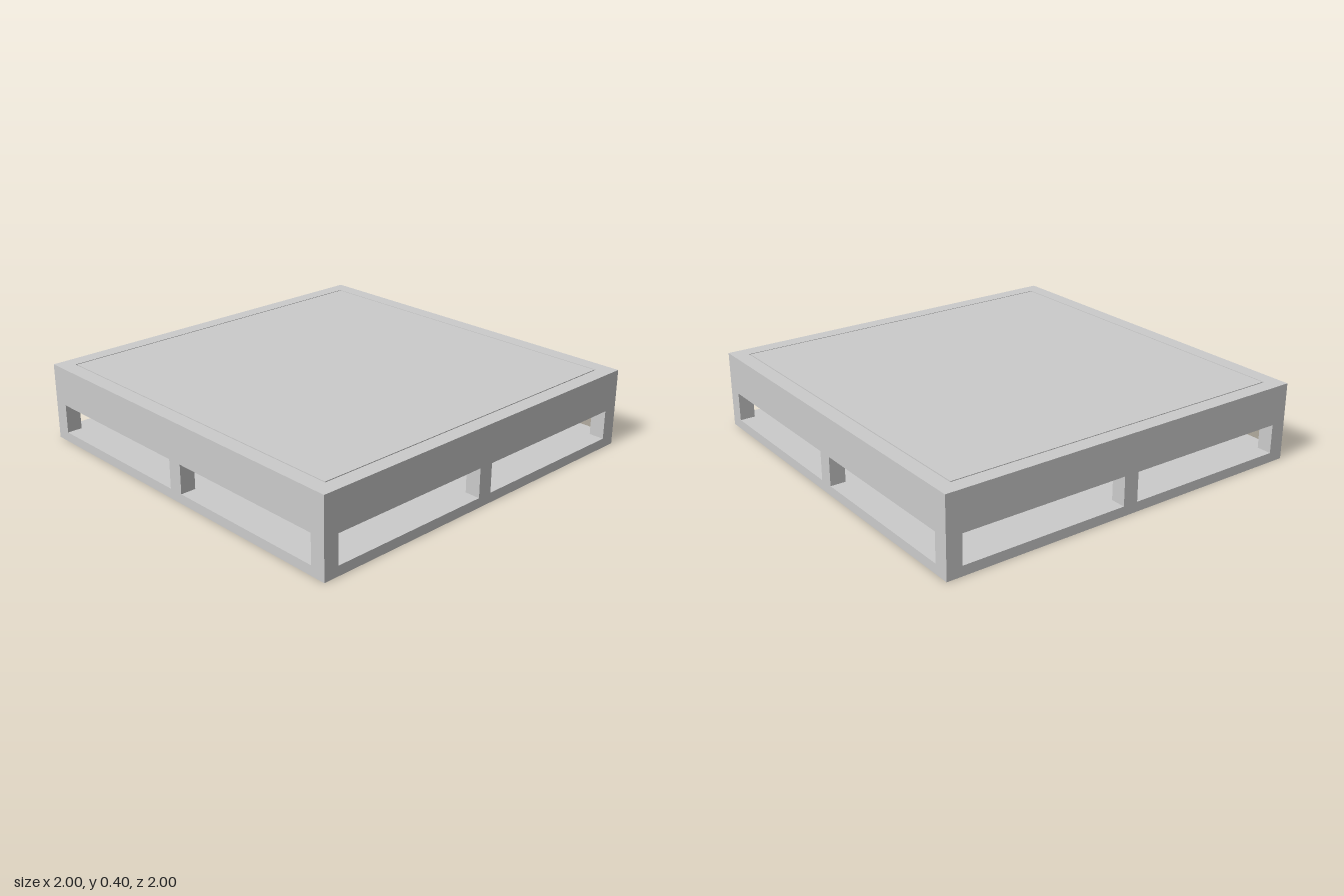
import * as THREE from 'three';

const material = new THREE.MeshStandardMaterial({ color: 0xcccccc, flatShading: true });

function addMesh(parent, name, geometry, x, y, z) {
  const mesh = new THREE.Mesh(geometry, material);
  mesh.name = name;
  mesh.position.set(x, y, z);
  parent.add(mesh);
}

function addBox(parent, name, w, h, d, x, bottom, z) {
  addMesh(parent, name, new THREE.BoxGeometry(w, h, d), x, bottom + h / 2, z);
}

function squarePoints(half) {
  return [[-half, -half], [half, -half], [half, half], [-half, half]]
    .map(([x, y]) => new THREE.Vector2(x, y));
}

export function createModel() {
  const model = new THREE.Group();
  model.name = 'lowTable';

  // Thin base plate
  addBox(model, 'basePlate', 2, 0.05, 2, 0, 0, 0);

  // Posts at the corners and the middle of each side
  const post = 0.08, edge = 1 - post / 2;
  const posts = new THREE.Group();
  posts.name = 'posts';
  model.add(posts);
  for (const x of [-edge, 0, edge]) {
    for (const z of [-edge, 0, edge]) {
      if (x === 0 && z === 0) continue;
      addBox(posts, 'post', post, 0.15, post, x, 0.05, z);
    }
  }

  // Thick top: solid underside, raised rim and an inset panel with a narrow groove
  const top = new THREE.Group();
  top.name = 'tableTop';
  model.add(top);
  addBox(top, 'topCore', 2, 0.18, 2, 0, 0.2, 0);
  const rim = new THREE.Shape(squarePoints(1));
  rim.holes.push(new THREE.Path(squarePoints(0.922).reverse()));
  const rimGeometry = new THREE.ExtrudeGeometry(rim, { depth: 0.02, bevelEnabled: false });
  rimGeometry.rotateX(-Math.PI / 2);
  addMesh(top, 'topRim', rimGeometry, 0, 0.38, 0);
  addBox(top, 'topPanel', 1.832, 0.02, 1.832, 0, 0.38, 0);

  return model;
}
